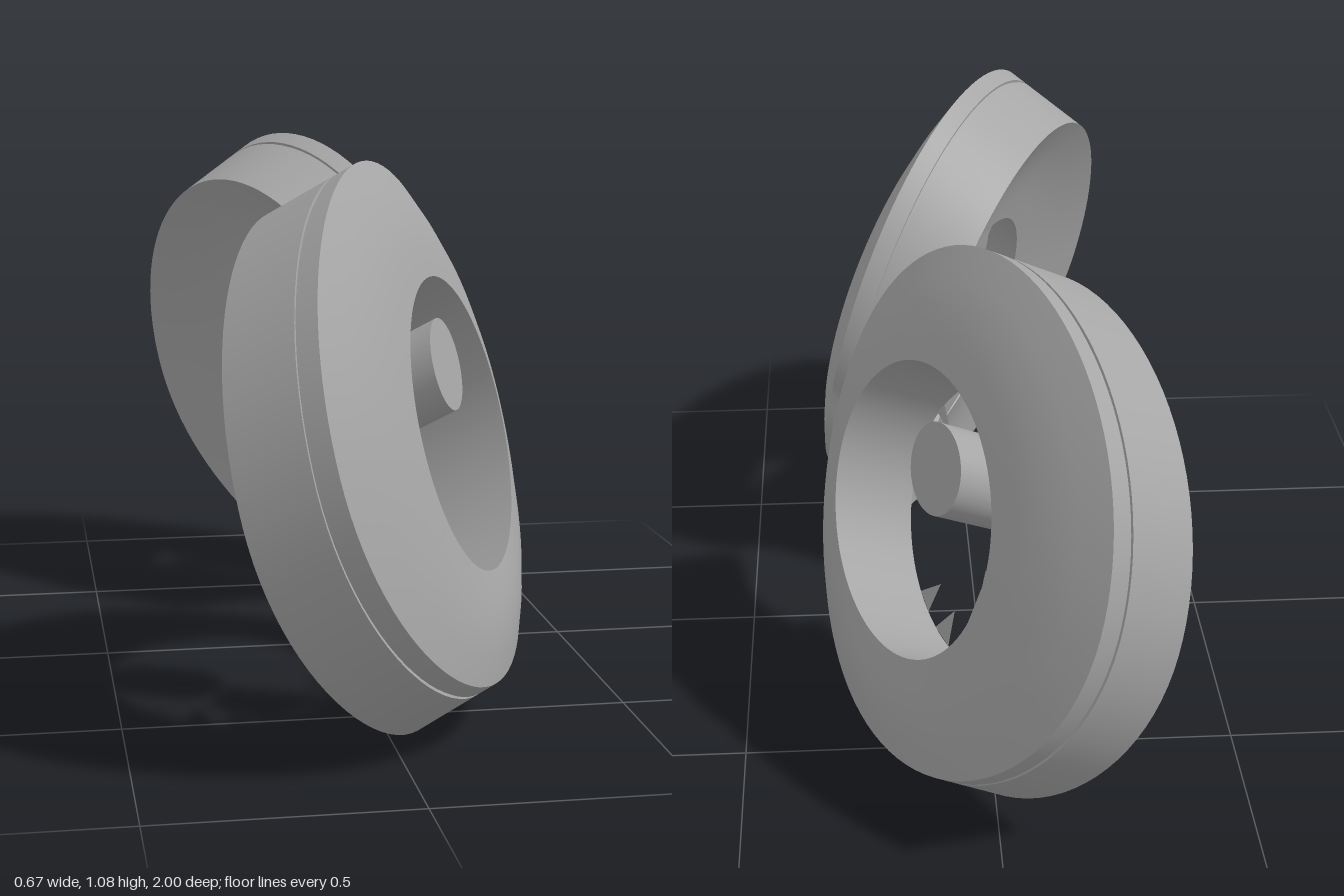
import * as THREE from 'three';

const SEGMENTS = 96;
// Frame of one tilted ring: U and V span its plane, DEPTH runs front to back
const U = new THREE.Vector3(0.449, 0, -0.893);
const V = new THREE.Vector3(-0.223, 0.968, -0.112);
const NORMAL = new THREE.Vector3(0.865, 0.25, 0.435);
const DEPTH = new THREE.Vector3(-0.154, -0.1, -0.09);
const RIM_CENTRE = new THREE.Vector3(0.0725, 0.59, 0.555);
const HOLE_CENTRE = new THREE.Vector3(0.159, 0.5875, 0.535);
const PEG_CENTRE = new THREE.Vector3(0.11, 0.713, 0.602);
const R = 0.505, HOLE = 0.286, GROOVE = 0.499, PEG = 0.088;

const polar = (c, r, a, s = 0) => c.clone().addScaledVector(DEPTH, s)
  .addScaledVector(U, r * Math.cos(a)).addScaledVector(V, r * Math.sin(a));

// Rounded hollow between the two rings, biting mostly into their backs
const inNotch = (p) =>
  ((p.x - 0.1) / 0.4) ** 2 + ((p.y - 0.375) / 0.21) ** 2 + (p.z / 0.183) ** 2 < 1;

// Outer rim, bent forward at the bottom and slightly narrower at the sides
function rimPoint(r, a, s) {
  const low = Math.max(0, -Math.sin(a)) ** 2, high = Math.max(0, Math.sin(a)) ** 2;
  const wide = Math.cos(a) ** 2;
  const bend = (0.045 + 0.02 * s) * low + 0.008 * high - 0.005 * wide;
  const radius = r + 0.018 * low * s + 0.004 * high - 0.006 * wide;
  return polar(RIM_CENTRE, radius, a, s).addScaledVector(NORMAL, bend);
}

// Station on the ring: t = 0 at rim, 1 at hole edge; s = 0 front, 1 back
const station = (t, s, r = R) => (a) => {
  const rim = rimPoint(r, a, s), hole = polar(HOLE_CENTRE, HOLE, a, s);
  // slightly domed between rim and hole
  const at = (k) => rim.clone().lerp(hole, k)
    .addScaledVector(NORMAL, 0.014 * Math.sin(Math.PI * k));
  let p = at(t);
  for (let k = t; k < 0.95 && inNotch(p); k += 0.008) p = at(k);
  return p;
};
const pegStation = (r, s) => (a) => polar(PEG_CENTRE, r, a, s);

// Smooth band through closed stations; side = -1 mirrors it in z
function band(stations, side) {
  const positions = [], index = [];
  for (const pointAt of stations) {
    for (let j = 0; j < SEGMENTS; j++) {
      const p = pointAt((j / SEGMENTS) * Math.PI * 2);
      positions.push(p.x, p.y, p.z * side);
    }
  }
  for (let i = 0; i < stations.length - 1; i++) {
    for (let j = 0; j < SEGMENTS; j++) {
      const k = (j + 1) % SEGMENTS;
      const a = i * SEGMENTS + j, b = a + SEGMENTS;
      const c = i * SEGMENTS + k, d = c + SEGMENTS;
      if (side > 0) index.push(a, b, c, c, b, d);
      else index.push(a, c, b, c, d, b);
    }
  }
  const g = new THREE.BufferGeometry();
  g.setAttribute('position', new THREE.Float32BufferAttribute(positions, 3));
  g.setIndex(index);
  g.computeVertexNormals();
  return g;
}

// Jagged shards on the back hole edge: start and end angle, then two tips (angle, radius)
const SHARDS = [
  [228, 262, 206, 0.17, 248, 0.085],
  [262, 270, 254, 0.12, 254, 0.12],
  [276, 288, 280, 0.21, 280, 0.21],
  [296, 306, 300, 0.21, 300, 0.21],
  [214, 224, 214, 0.21, 214, 0.21],
  [195, 206, 200, 0.2, 200, 0.2],
  [168, 178, 186, 0.23, 186, 0.23],
  [84, 92, 76, 0.19, 76, 0.19],
  [62, 69, 74, 0.2, 74, 0.2],
  [28, 34, 31, 0.22, 31, 0.22],
];

function shardGeometry(side) {
  const positions = [];
  const add = (deg, r) => {
    const p = polar(HOLE_CENTRE, r, THREE.MathUtils.degToRad(deg), 1);
    positions.push(p.x, p.y, p.z * side);
  };
  for (const [a0, a1, t0, r0, t1, r1] of SHARDS) {
    add(a0, HOLE); add(a1, HOLE); add(t1, r1);
    if (t0 !== t1) { add(a0, HOLE); add(t1, r1); add(t0, r0); }
  }
  const g = new THREE.BufferGeometry();
  g.setAttribute('position', new THREE.Float32BufferAttribute(positions, 3));
  g.computeVertexNormals();
  return g;
}

export function createModel() {
  const grey = new THREE.MeshStandardMaterial({ color: 0xa6a6a6, side: THREE.DoubleSide });
  grey.name = 'grey';

  const parts = {
    frontFace: [1, 0.75, 0.5, 0.25, 0].map((t) => station(t, 0)),
    rimLip: [station(0, 0), station(0, 0.2)],
    grooveFront: [station(0, 0.2), station(0, 0.2, GROOVE)],
    grooveFloor: [station(0, 0.2, GROOVE), station(0, 0.24, GROOVE)],
    grooveBack: [station(0, 0.24, GROOVE), station(0, 0.24)],
    rim: [0.24, 0.43, 0.62, 0.81, 1].map((s) => station(0, s)),
    backFace: [0, 0.25, 0.5, 0.75, 1].map((t) => station(t, 1)),
    holeWall: [station(1, 1), station(1, 0)],
    pegFront: [pegStation(0, 0), pegStation(PEG, 0)],
    pegWall: [pegStation(PEG, 0), pegStation(PEG, 0.85)],
    pegBack: [pegStation(PEG, 0.85), pegStation(0, 0.85)],
  };

  const model = new THREE.Group();
  model.name = 'ringPair';
  for (const side of [1, -1]) {
    const ring = new THREE.Group();
    ring.name = side > 0 ? 'frontRing' : 'rearRing';
    const addMesh = (name, geometry) => {
      const mesh = new THREE.Mesh(geometry, grey);
      mesh.name = name;
      ring.add(mesh);
    };
    for (const [name, stations] of Object.entries(parts)) addMesh(name, band(stations, side));
    addMesh('shards', shardGeometry(side));
    model.add(ring);
  }
  return model;
}
